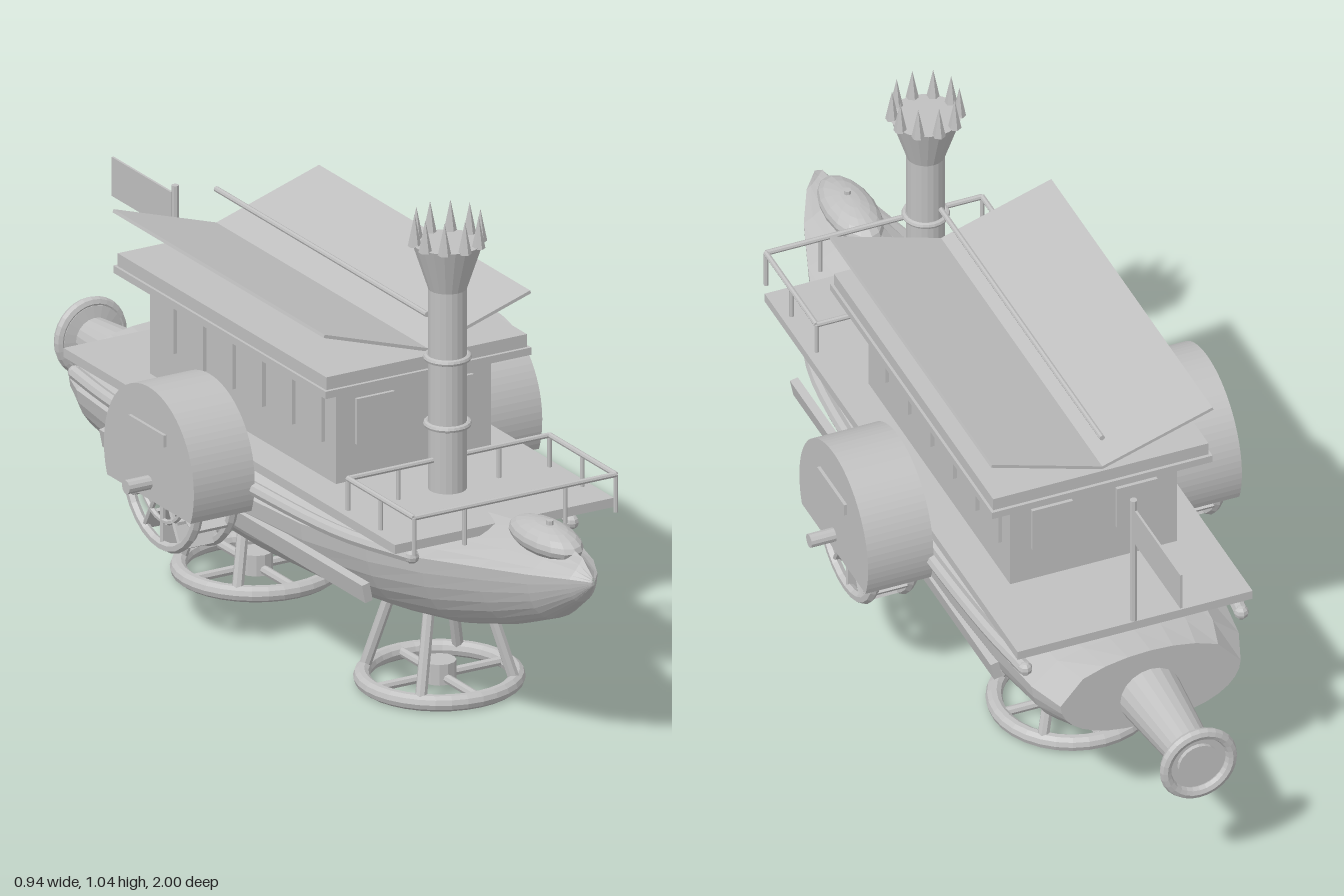
import * as THREE from 'three';

const grey = new THREE.MeshStandardMaterial({ color: 0xc0c0c0, flatShading: true });
grey.name = 'grey';
const V = (x, y, z) => new THREE.Vector3(x, y, z);

function add(parent, name, geo, x = 0, y = 0, z = 0) {
  const m = new THREE.Mesh(geo, grey);
  m.name = name;
  m.position.set(x, y, z);
  parent.add(m);
  return m;
}
// box given by its centre and size
const box = (p, name, x, y, z, w, h, d) => add(p, name, new THREE.BoxGeometry(w, h, d), x, y, z);
// straight round bar between two points
function bar(p, name, a, b, r, sides = 8) {
  const m = add(p, name, new THREE.CylinderGeometry(r, r, a.distanceTo(b), sides));
  m.position.copy(a).add(b).multiplyScalar(0.5);
  m.quaternion.setFromUnitVectors(V(0, 1, 0), b.clone().sub(a).normalize());
  return m;
}

// hull lofted from sections: z, half width, top, shoulder, bottom, crown (0 hollow, 1 round)
function hullGeometry() {
  const sections = [
    [1, 0.004, 0.43, 0.42, 0.41, 0], [0.96, 0.035, 0.46, 0.42, 0.365, 0],
    [0.87, 0.08, 0.475, 0.41, 0.3, 0], [0.75, 0.122, 0.465, 0.395, 0.25, 0],
    [0.6, 0.17, 0.44, 0.375, 0.205, 0], [0.45, 0.21, 0.42, 0.36, 0.183, 0.2],
    [0.25, 0.245, 0.41, 0.35, 0.165, 0.6], [0, 0.26, 0.405, 0.345, 0.155, 1],
    [-0.3, 0.258, 0.405, 0.345, 0.157, 1], [-0.5, 0.25, 0.41, 0.345, 0.172, 1],
    [-0.66, 0.23, 0.415, 0.34, 0.2, 1], [-0.74, 0.2, 0.42, 0.335, 0.235, 1]];
  const pos = [], idx = [], n = 24;
  for (const [z, w, top, mid, low, crown] of sections) {
    const half = [];
    for (let i = 0; i < 4; i++) {
      const u = i / 4;
      const k = THREE.MathUtils.lerp((1 - u) ** 1.35, Math.sqrt(1 - u * u), crown);
      half.push([u * w, mid + (top - mid) * k]);
    }
    for (let i = 0; i <= 8; i++) {
      const a = (i / 8) * Math.PI / 2;
      half.push([i === 8 ? 0 : w * Math.cos(a) ** 0.8, mid - (mid - low) * Math.sin(a)]);
    }
    half.forEach(([x, y]) => pos.push(x, y, z));
    for (let i = 11; i > 0; i--) pos.push(-half[i][0], half[i][1], z);
  }
  const last = (sections.length - 1) * n, centre = pos.length / 3;
  pos.push(0, 0.33, -0.74);
  for (let j = 0; j < n; j++) {
    const k = (j + 1) % n;
    for (let i = 0; i < last; i += n) idx.push(i + j, i + k, i + n + j, i + k, i + n + k, i + n + j);
    idx.push(centre, last + j, last + k);
  }
  const g = new THREE.BufferGeometry();
  g.setAttribute('position', new THREE.Float32BufferAttribute(pos, 3));
  g.setIndex(idx);
  g.computeVertexNormals();
  return g;
}

// paddle wheel with its cover, built along +z and then turned to point outward
function paddleWheel(side) {
  const g = new THREE.Group();
  g.name = side > 0 ? 'leftPaddleWheel' : 'rightPaddleWheel';
  const R = 0.178, a0 = -Math.asin(0.067 / R), a1 = Math.PI - a0;
  const face = new THREE.Shape().absarc(0, 0, R, a0, a1, false);
  const shell = new THREE.Shape().absarc(0, 0, R, a0, a1, false);
  shell.absarc(0, 0, R - 0.01, a1, a0, true);
  const ex = (s, depth) => new THREE.ExtrudeGeometry(s, { depth, bevelEnabled: false, curveSegments: 24 });
  add(g, 'coverShell', ex(shell, 0.145), 0, 0.4, 0.27);
  for (const z of [0.27, 0.407]) add(g, 'coverSide', ex(face, 0.008), 0, 0.4, z);
  box(g, 'coverPlate', 0, 0.483, 0.418, 0.14, 0.026, 0.008);
  bar(g, 'axle', V(0, 0.37, 0.2), V(0, 0.37, 0.47), 0.015, 12);
  for (const z of [0.298, 0.382]) {
    add(g, 'wheelRim', new THREE.TorusGeometry(0.144, 0.011, 6, 28), 0, 0.37, z);
    add(g, 'wheelInnerRim', new THREE.TorusGeometry(0.09, 0.006, 6, 24), 0, 0.37, z);
  }
  for (let i = 0; i < 12; i++) {
    const a = (i / 12) * Math.PI * 2, c = Math.cos(a), s = Math.sin(a);
    for (const z of [0.298, 0.382]) bar(g, 'wheelSpoke', V(0, 0.37, z), V(c * 0.144, 0.37 + s * 0.144, z), 0.006, 6);
    const blade = box(g, 'paddle', c * 0.125, 0.37 + s * 0.125, 0.34, 0.05, 0.008, 0.084);
    blade.rotation.z = a;
  }
  g.rotation.y = side * Math.PI / 2;
  g.position.z = -0.067;
  return g;
}

// ring foot with spokes, hub and four slanted struts
function ringFoot(z) {
  const g = new THREE.Group();
  g.name = 'ringFoot';
  add(g, 'footRing', new THREE.TorusGeometry(0.159, 0.0175, 10, 32).rotateX(Math.PI / 2), 0, 0.0175, 0);
  add(g, 'footHub', new THREE.CylinderGeometry(0.035, 0.035, 0.045, 12), 0, 0.03, 0);
  bar(g, 'footSpoke', V(-0.155, 0.02, 0), V(0.155, 0.02, 0), 0.01);
  bar(g, 'footSpoke', V(0, 0.02, -0.155), V(0, 0.02, 0.155), 0.01);
  for (const x of [-1, 1]) for (const s of [-1, 1])
    bar(g, 'footStrut', V(x * 0.112, 0.02, s * 0.112), V(x * 0.068, 0.2, s * 0.072), 0.0125);
  g.position.z = z;
  return g;
}

export function createModel() {
  const model = new THREE.Group();
  model.name = 'paddleSteamer';

  add(model, 'hull', hullGeometry());
  box(model, 'deck', 0, 0.428, -0.005, 0.522, 0.02, 1.31);
  // bow crest
  const crest = add(model, 'bowCrest', new THREE.SphereGeometry(1, 16, 10), 0, 0.458, 0.815);
  crest.scale.set(0.055, 0.034, 0.118);
  bar(model, 'bowPin', V(0, 0.47, 0.83), V(0, 0.5, 0.83), 0.008);
  const stud = add(model, 'bowStud', new THREE.SphereGeometry(0.011, 8, 6), 0, 0.41, 0.985);
  stud.scale.y = 1.2;

  for (const s of [-1, 1]) {
    // rub rails and side planks
    const path = new THREE.CatmullRomCurve3([V(s * 0.19, 0.383, 0.6), V(s * 0.245, 0.383, 0.42),
      V(s * 0.268, 0.383, 0.1), V(s * 0.27, 0.383, -0.2), V(s * 0.257, 0.383, -0.5), V(s * 0.24, 0.383, -0.65)]);
    add(model, 'rubRail', new THREE.TubeGeometry(path, 24, 0.015, 8));
    for (const i of [0, 1]) add(model, 'railEnd', new THREE.SphereGeometry(0.0155, 8, 6)).position.copy(path.getPoint(i));
    const plank = box(model, 'sidePlank', s * 0.248, 0.288, 0, 0.018, 0.04, 1.04);
    plank.rotation.z = -s * 0.2;
    const fin = box(model, 'sideFin', s * 0.222, 0.222, -0.17, 0.012, 0.05, 0.11);
    fin.rotation.z = -s * 0.5;
    // raised roof wings
    const wing = box(model, 'roofWing', s * 0.123, 0.752, -0.072, 0.258, 0.007, 0.835);
    wing.rotation.z = s * 0.307;
    model.add(paddleWheel(s));
  }
  bar(model, 'ridgeRod', V(0, 0.79, 0.345), V(0, 0.79, -0.49), 0.006);

  // cabin with eaves and window panels
  box(model, 'cabin', 0, 0.548, -0.077, 0.37, 0.224, 0.735);
  box(model, 'eaves', 0, 0.663, -0.07, 0.49, 0.016, 0.84);
  box(model, 'roof', 0, 0.685, -0.07, 0.478, 0.028, 0.825);
  for (const s of [-1, 1]) {
    for (let i = 0; i < 6; i++) box(model, 'sideWindow', s * 0.189, 0.567, 0.215 - i * 0.117, 0.009, 0.1, 0.065);
    for (const z of [0.294, -0.448]) box(model, 'endWindow', s * 0.094, 0.567, z, 0.09, 0.1, 0.009);
  }

  // chimney with bands and a crown of spikes
  const chimney = new THREE.Group();
  chimney.name = 'chimney';
  chimney.position.z = 0.425;
  model.add(chimney);
  add(chimney, 'chimneyPipe', new THREE.CylinderGeometry(0.04, 0.04, 0.44, 20), 0, 0.655, 0);
  add(chimney, 'chimneyFlare', new THREE.CylinderGeometry(0.073, 0.04, 0.1, 20), 0, 0.925, 0);
  for (const y of [0.58, 0.725])
    add(chimney, 'chimneyBand', new THREE.TorusGeometry(0.043, 0.007, 8, 24).rotateX(Math.PI / 2), 0, y, 0);
  for (let i = 0; i < 10; i++) {
    const a = ((i + 0.5) / 10) * Math.PI * 2;
    add(chimney, 'crownSpike', new THREE.ConeGeometry(0.014, 0.07, 6), Math.cos(a) * 0.069, 1.007, Math.sin(a) * 0.069);
  }

  // bow railing
  const corners = [V(-0.24, 0.507, 0.43), V(-0.24, 0.507, 0.692), V(0.24, 0.507, 0.692), V(0.24, 0.507, 0.43)];
  corners.forEach((c, i) => bar(model, 'railing', c, corners[(i + 1) % 4], 0.006));
  for (const x of [-0.24, -0.12, 0.12, 0.24]) for (const z of [0.43, 0.692])
    bar(model, 'railingPost', V(x, 0.425, z), V(x, 0.507, z), 0.005);
  for (const x of [-0.24, 0.24]) bar(model, 'railingPost', V(x, 0.425, 0.56), V(x, 0.507, 0.56), 0.005);

  // stern flag
  bar(model, 'flagPole', V(0, 0.43, -0.652), V(0, 0.745, -0.652), 0.008);
  box(model, 'flag', 0, 0.683, -0.782, 0.005, 0.085, 0.235);

  // stern nozzle, turned around the z axis
  const profile = [[0.068, 0], [0.045, 0.235], [0.07, 0.24], [0.07, 0.248], [0, 0.248]].map(p => new THREE.Vector2(...p));
  const nozzle = add(model, 'sternNozzle', new THREE.LatheGeometry(profile.reverse(), 20), 0, 0.305, -0.735);
  nozzle.rotation.x = -Math.PI / 2;
  nozzle.geometry.index.array.reverse();
  nozzle.geometry.computeVertexNormals();
  // the lathe runs tip to base, so its faces are reversed to point outward
  add(model, 'nozzleRing', new THREE.TorusGeometry(0.073, 0.0125, 8, 28), 0, 0.305, -0.9875);
  add(model, 'nozzleDisc', new THREE.CylinderGeometry(0.045, 0.045, 0.012, 20).rotateX(Math.PI / 2), 0, 0.305, -0.986);

  model.add(ringFoot(0.393), ringFoot(-0.332));
  return model;
}
